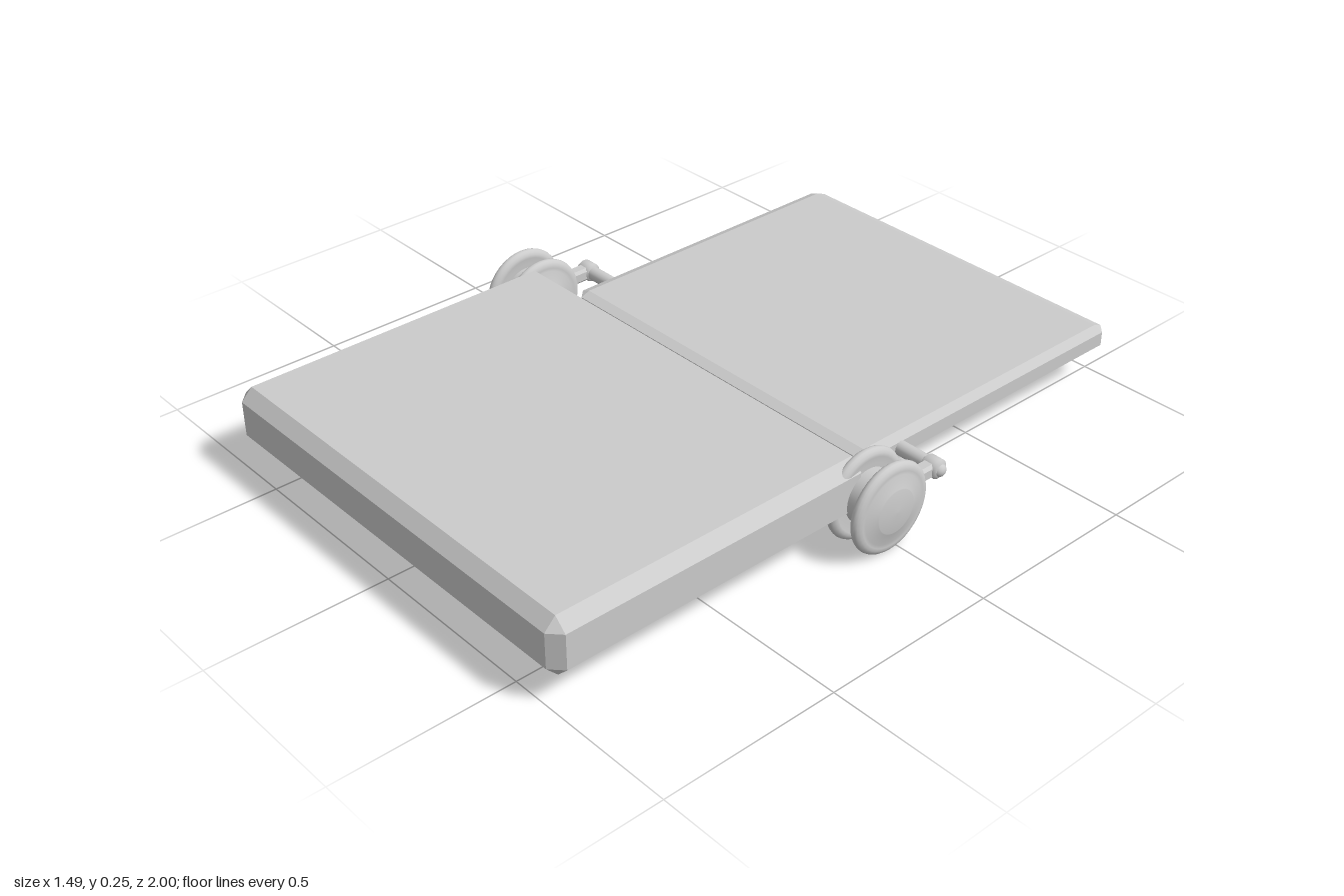
import * as THREE from 'three';
import { ConvexGeometry } from 'three/addons/geometries/ConvexGeometry.js';

const material = new THREE.MeshStandardMaterial({ color: 0xcccccc, side: THREE.DoubleSide });
const flatMaterial = new THREE.MeshStandardMaterial({ color: 0xcccccc, flatShading: true });

function add(parent, name, geometry, mat = material) {
  const mesh = new THREE.Mesh(geometry, mat);
  mesh.name = name;
  parent.add(mesh);
  return mesh;
}

// Box with every edge chamfered; bevel [bx, by, bz] may differ per axis
function chamferBox(min, max, bevel) {
  const centre = min.map((v, i) => (v + max[i]) / 2);
  const half = min.map((v, i) => (max[i] - v) / 2);
  const points = [];
  for (const sx of [-1, 1]) for (const sy of [-1, 1]) for (const sz of [-1, 1]) {
    const s = [sx, sy, sz];
    for (let face = 0; face < 3; face++) {
      points.push(new THREE.Vector3(...s.map((sign, i) =>
        centre[i] + sign * (half[i] - (i === face ? 0 : bevel[i])))));
    }
  }
  return new ConvexGeometry(points);
}

// Lathe about the x axis; profile is [radius, x], each segment keeps sharp edges
function latheX(profile, segments = 40) {
  const pts = profile.map(([r, x]) => new THREE.Vector2(r, x));
  return new THREE.LatheGeometry(pts, segments).rotateZ(-Math.PI / 2);
}

// Disc with a rounded rim and a shallow domed outer face towards +x
function discGeometry() {
  const profile = [[0, 0.004], [0.085, 0.004]];
  for (let i = 0; i <= 8; i++) {
    const a = -Math.PI / 2 + (i / 8) * Math.PI;
    profile.push([0.104 + 0.022 * Math.cos(a), 0.016 + 0.016 * Math.sin(a)]);
  }
  profile.push([0.095, 0.031], [0.062, 0.041], [0.06, 0.042], [0.03, 0.046], [0, 0.047]);
  return latheX(profile);
}

// Hinge assembly on the +x side
function hinge() {
  const group = new THREE.Group();
  const axleY = 0.127, axleZ = 0.031, pinZ = -0.172, pinY = 0.132;

  add(group, 'outerDisc', discGeometry()).position.set(0.698, axleY, axleZ);
  const inner = add(group, 'innerDisc', discGeometry());
  inner.position.set(0.647, axleY, axleZ);
  inner.rotation.y = Math.PI;
  const hub = add(group, 'hub', new THREE.CylinderGeometry(0.075, 0.075, 0.064, 36));
  hub.rotation.z = Math.PI / 2;
  hub.position.set(0.672, axleY, axleZ);

  // Arm from the hub back to the pin
  add(group, 'arm', chamferBox([0.652, 0.112, -0.18], [0.692, 0.152, 0.0], [0.008, 0.008, 0.008]), flatMaterial);
  const knuckle = add(group, 'knuckle', latheX(
    [[0, -0.027], [0.017, -0.027], [0.027, -0.018], [0.027, 0.018], [0.017, 0.027], [0, 0.027]], 24));
  knuckle.position.set(0.673, pinY, pinZ);

  // Pin into the lid, with a rounded end
  const pin = add(group, 'pin', new THREE.CylinderGeometry(0.02, 0.02, 0.15, 20));
  pin.rotation.z = Math.PI / 2;
  pin.position.set(0.615, pinY, pinZ);
  const pinEnd = add(group, 'pinEnd', new THREE.SphereGeometry(0.02, 20, 12));
  pinEnd.position.set(0.69, pinY, pinZ);
  return group;
}

export function createModel() {
  const model = new THREE.Group();
  model.name = 'hingedPanels';

  // Thick front body and thin rear lid
  add(model, 'body', chamferBox([-0.652, 0.075, 0.03], [0.648, 0.24, 1], [0.034, 0.033, 0.032]), flatMaterial);
  add(model, 'lid', chamferBox([-0.565, 0.1, -1], [0.563, 0.162, -0.037], [0.028, 0.011, 0.028]), flatMaterial);

  // The second hinge is the first turned over: y and x flipped about the axle keeps winding
  const left = hinge();
  left.name = 'leftHinge';
  const right = hinge();
  right.name = 'rightHinge';
  right.scale.x = -1;
  model.add(left, right);
  return model;
}
